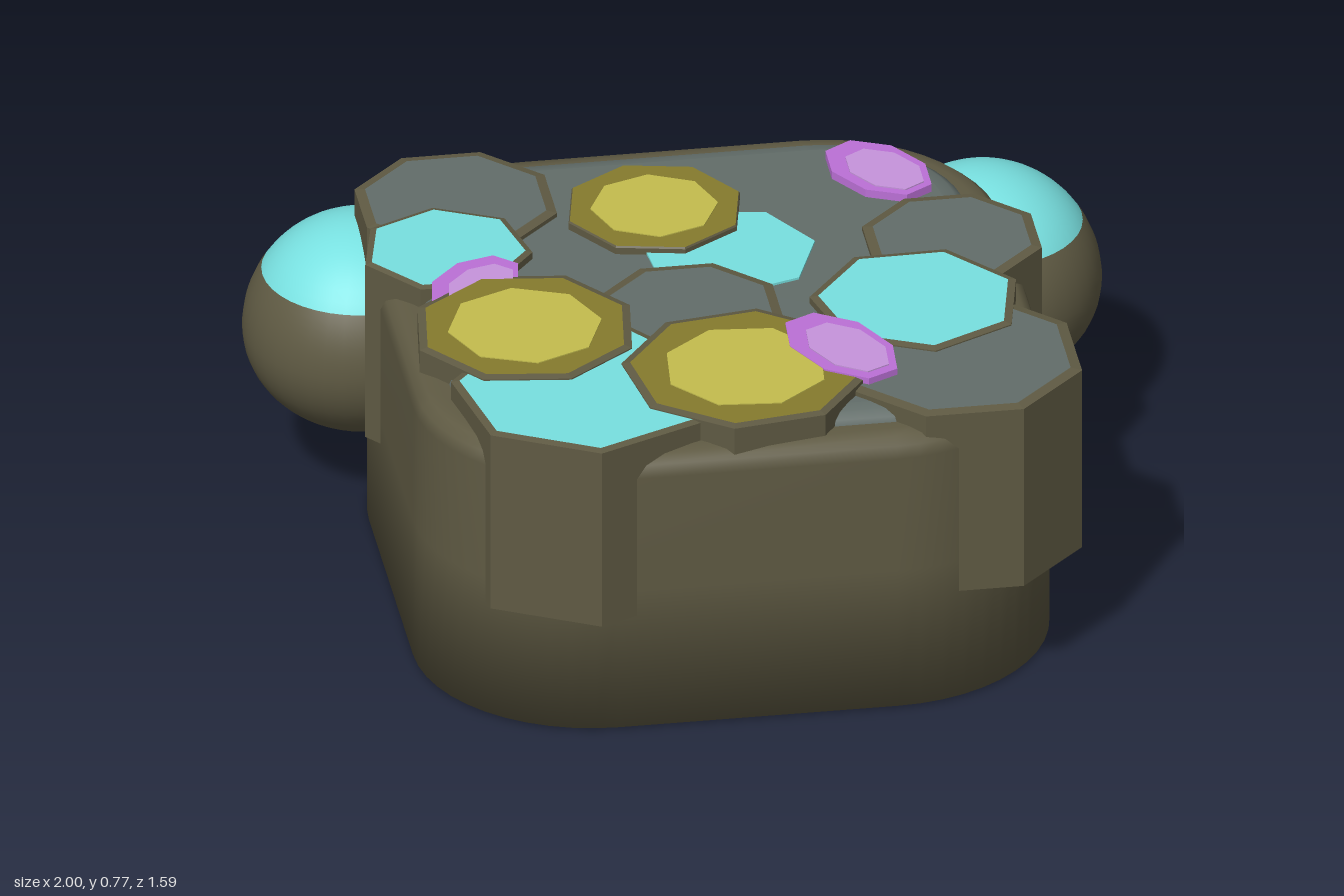
import * as THREE from 'three';

const mat = (name, color) => Object.assign(new THREE.MeshStandardMaterial({ color }), { name });
const rad = THREE.MathUtils.degToRad;

// Loft of rounded-square rings; profile holds [inset, y], a repeated entry makes a crease
function roundedLoft(profile, half, radius) {
  const steps = 12, ring = 4 * (steps + 1), pos = [], idx = [];
  for (const [inset, y] of profile) {
    const h = half - inset;
    const r = Math.min(h, Math.max(radius - inset, 0.05));
    for (let c = 0; c < 4; c++) {
      const mid = rad(45 + 90 * c);
      const cx = Math.sign(Math.cos(mid)) * (h - r), cz = Math.sign(Math.sin(mid)) * (h - r);
      for (let s = 0; s <= steps; s++) {
        const a = rad(90 * (c + s / steps));
        pos.push(cx + r * Math.cos(a), y, cz + r * Math.sin(a));
      }
    }
  }
  for (let k = 0; k < profile.length - 1; k++) {
    for (let i = 0; i < ring; i++) {
      const a0 = k * ring + i, a1 = k * ring + (i + 1) % ring;
      idx.push(a0, a0 + ring, a1, a1, a0 + ring, a1 + ring);
    }
  }
  const g = new THREE.BufferGeometry();
  g.setAttribute('position', new THREE.Float32BufferAttribute(pos, 3));
  g.setIndex(idx);
  g.computeVertexNormals();
  return g;
}

function facet(g) {
  const f = g.toNonIndexed();
  f.computeVertexNormals();
  return f;
}

export function createModel() {
  const olive = mat('olive shell', 0x5f5a43);
  const grey = mat('slate grey', 0x626d69);
  const cyan = mat('cyan', 0x78e0e0);
  const gold = mat('dark gold', 0x857b2d);
  const lightGold = mat('light gold', 0xc4bd4e);
  const purple = mat('purple', 0xbb70d6);
  const lilac = mat('lilac', 0xc694dc);

  const model = new THREE.Group();
  const add = (parent, name, geo, material, x = 0, y = 0, z = 0) => {
    const m = new THREE.Mesh(geo, material);
    m.name = name;
    m.position.set(x, y, z);
    parent.add(m);
    return m;
  };

  // Rounded body with softly shaded foot, its domed top and the flat grey underside
  const H = 0.74, R = 0.415, Z = 0.013;
  add(model, 'body', roundedLoft([
    [H, 0.005], [0, 0.005], [0, 0.36], [0, 0.655], [0.01, 0.683], [0.03, 0.7], [0.06, 0.705], [0.1, 0.705],
  ], H, R), olive, 0, 0, Z);
  add(model, 'topPanel', roundedLoft([
    [0.085, 0.7], [0.09, 0.718], [0.11, 0.731], [0.14, 0.735], [0.14, 0.735], [H, 0.737],
  ], H, R), grey, 0, 0, Z);
  add(model, 'underside', roundedLoft([
    [H, 0], [0.08, 0], [0.08, 0.3],
  ], H, R), grey, 0, 0, Z);

  // Side balls: flattened underneath, with a cyan crown
  const r = 0.275, cut = rad(57);
  for (const side of [1, -1]) {
    const ball = new THREE.Group();
    ball.name = side > 0 ? 'leftBall' : 'rightBall';
    ball.position.set(side * 0.725, 0.405, -0.52);
    add(ball, 'ballCrown', new THREE.SphereGeometry(r, 40, 10, 0, Math.PI * 2, 0, cut), cyan);
    add(ball, 'ballBand', new THREE.SphereGeometry(r, 40, 8, 0, Math.PI * 2, cut, Math.PI / 2 - cut), olive);
    add(ball, 'ballBase', new THREE.SphereGeometry(r, 40, 14, 0, Math.PI * 2, Math.PI / 2, Math.PI / 2), olive)
      .scale.y = 0.87;
    model.add(ball);
  }

  // Polygonal column with a nearly flat rim; angle places one corner, measured from +x towards +z
  const plate = (radius, n, angle, h) =>
    facet(new THREE.CylinderGeometry(radius, radius, h, n, 1, false, rad(90 - angle)));
  function tile(name, x, z, radius, n, angle, bottom, top, inset, cap) {
    const g = new THREE.Group();
    g.name = name;
    g.position.set(x, 0, z);
    const p = [[0, bottom], [radius, bottom], [radius, top - 0.004], [radius - inset, top]]
      .map(([a, b]) => new THREE.Vector2(a, b));
    add(g, 'column', facet(new THREE.LatheGeometry(p, n, rad(90 - angle))), olive);
    add(g, 'cap', plate(radius - inset, n, angle, 0.004), cap, 0, top - 0.002, 0);
    model.add(g);
    return g;
  }

  const tiles = [
    // name, x, z, radius, sides, angle, bottom, top, rim, cap
    ['backRightTile', -0.515, -0.455, 0.24, 8, 22.5, 0.3, 0.75, 0.025, grey],
    ['rightCyanTile', -0.575, -0.22, 0.2, 7, 13, 0.3, 0.757, 0.016, cyan],
    ['frontRightCyanTile', -0.36, 0.48, 0.312, 7, 92, 0.295, 0.755, 0.02, cyan],
    ['frontLeftTile', 0.51, 0.45, 0.298, 8, 22.5, 0.28, 0.75, 0.027, grey],
    ['leftTile', 0.588, -0.108, 0.213, 8, 22.5, 0.28, 0.75, 0.025, grey],
    ['leftCyanTile', 0.46, 0.185, 0.248, 7, -14, 0.28, 0.757, 0.02, cyan],
    ['centreTile', -0.06, 0.13, 0.222, 8, 22.5, 0.5, 0.748, 0.025, grey],
  ];
  for (const t of tiles) tile(...t);

  // Flush cyan patch behind the centre
  add(model, 'cyanPatch', plate(0.205, 7, -5, 0.008), cyan, 0.07, 0.738, -0.13);

  // Gold discs with a lighter middle
  const golds = [
    ['backGold', -0.07, -0.34, 0.21, 0.148, -11, 0.757, 0.003],
    ['rightGold', -0.455, 0.185, 0.265, 0.18, -15, 0.762, 0.02],
    ['frontGold', 0.017, 0.457, 0.287, 0.192, 14, 0.762, 0.02],
  ];
  for (const [name, x, z, ro, ri, angle, top, rim] of golds) {
    const g = tile(name, x, z, ro, 8, angle, 0.6, top, rim, gold);
    add(g, 'goldMiddle', plate(ri, 8, angle + 14, 0.004), lightGold, 0, top + 0.0005, 0);
  }

  // Stretched purple gems, each with a lilac face set slightly off centre
  const gems = [
    ['backGem', 0.47, -0.445, 0.152, 0.1, 57, 0.755],
    ['frontGem', 0.25, 0.397, 0.178, 0.105, 63, 0.766],
    ['rightGem', -0.535, -0.045, 0.14, 0.09, -48, 0.759],
  ];
  for (const [name, x, z, length, width, angle, top] of gems) {
    const g = new THREE.Group();
    g.name = name;
    g.position.set(x, top, z);
    const base = add(g, 'gemBase', plate(1, 8, 22.5, 0.02), purple, 0, -0.01, 0);
    const face = add(g, 'gemFace', plate(0.74, 8, 22.5, 0.006), lilac, 0.012, 0, 0.014);
    for (const part of [base, face]) {
      part.rotation.y = -rad(angle);
      part.scale.set(length, 1, width);
    }
    model.add(g);
  }
  return model;
}
